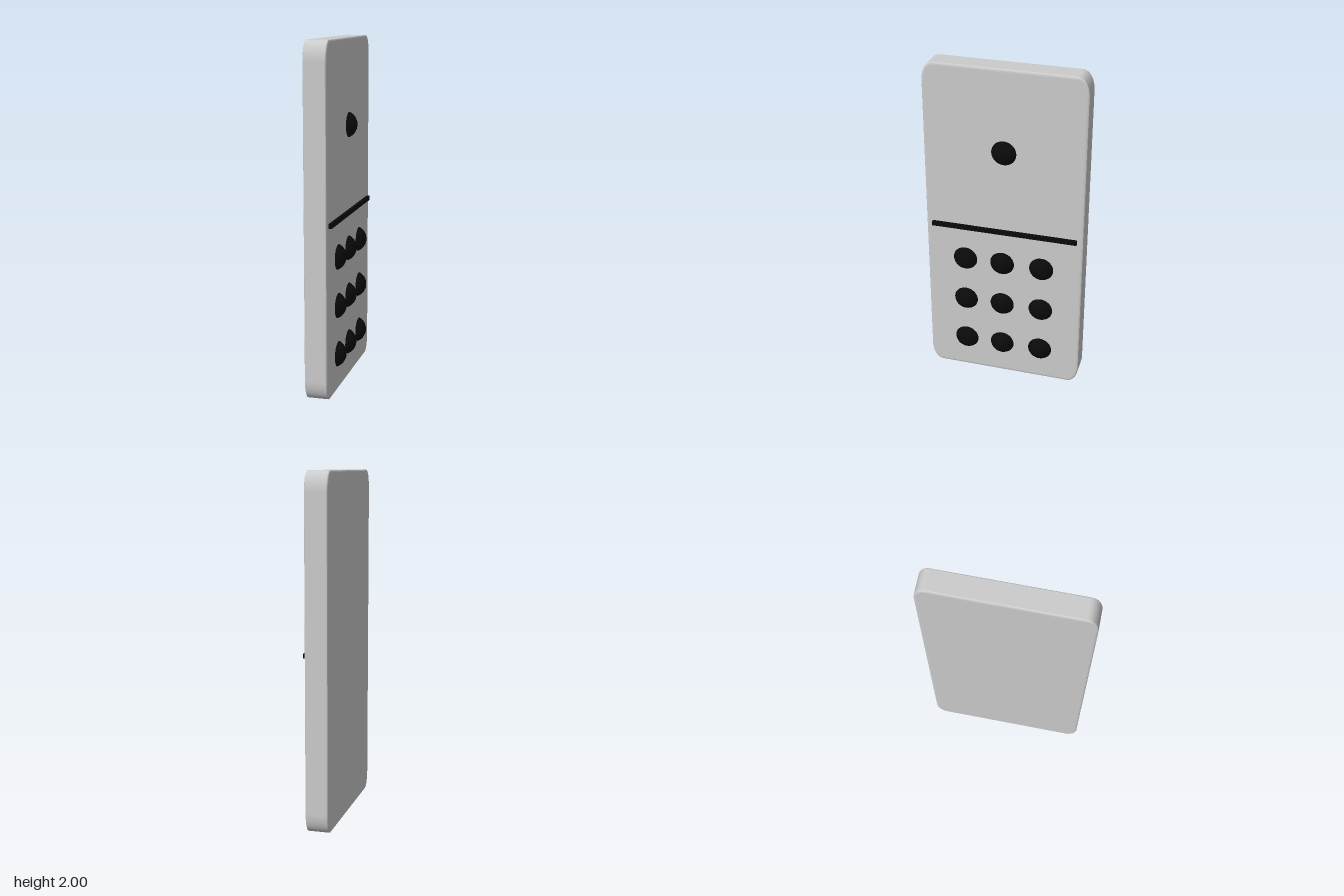
import * as THREE from 'three';

const W = 0.47, H = 1, X0 = -0.09, X1 = 0.043; // half width, half height, back and front of the tile
const BEVEL = 0.016, DEPTH = 0.008;

// Upright rectangle with elliptical corners
function tileShape(w, h, rx, ry) {
  const s = new THREE.Shape();
  s.absellipse(w - rx, h - ry, rx, ry, 0, Math.PI / 2, false);
  s.absellipse(-w + rx, h - ry, rx, ry, Math.PI / 2, Math.PI, false);
  s.absellipse(-w + rx, -h + ry, rx, ry, Math.PI, Math.PI * 1.5, false);
  s.absellipse(w - rx, -h + ry, rx, ry, Math.PI * 1.5, Math.PI * 2, false);
  s.closePath();
  return s;
}

export function createModel() {
  const model = new THREE.Group();
  model.name = 'domino';
  const grey = new THREE.MeshStandardMaterial({ color: 0xcccccc });
  const black = new THREE.MeshStandardMaterial({ color: 0x0a0a0a });

  const add = (name, geometry, material, x, y, z) => {
    const mesh = new THREE.Mesh(geometry, material);
    mesh.name = name;
    mesh.position.set(x, y, z);
    model.add(mesh);
  };

  // Tile body, extruded along x with softened rims
  const body = new THREE.ExtrudeGeometry(tileShape(W - BEVEL, H - BEVEL, 0.05, 0.1), {
    depth: X1 - X0 - 2 * DEPTH,
    curveSegments: 10,
    bevelThickness: DEPTH,
    bevelSize: BEVEL,
    bevelSegments: 3,
  });
  body.rotateY(Math.PI / 2);
  add('tile', body, grey, X0 + DEPTH, H, 0);

  // Dividing bar across the face
  add('divider', new THREE.BoxGeometry(0.04, 0.027, 0.867), black, 0.04, 1.002, 0);

  // Domed pips: one above, nine below
  const pip = new THREE.SphereGeometry(0.08, 32, 24);
  add('upperPip', pip, black, 0.01, 1.507, 0);
  for (const y of [0.785, 0.5, 0.211])
    for (const z of [0.237, 0.011, -0.227]) add('lowerPip', pip, black, 0.01, y, z);

  return model;
}
